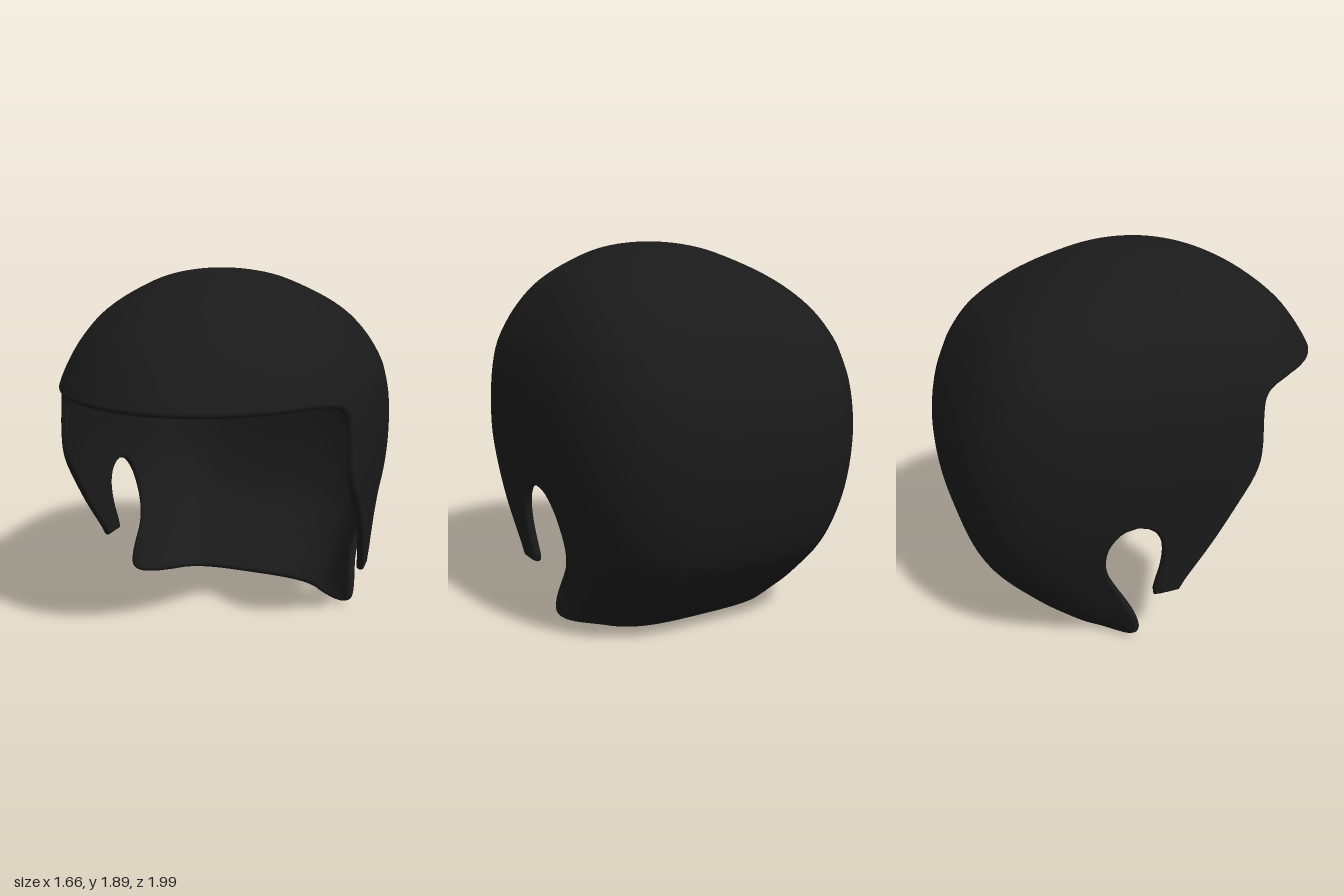
import * as THREE from 'three';

const TOP = 1.91, ZC = 0.05, THICK = 0.04, BROW = 1.35, ARCH = 0.76, TIP = 0.345, HEM = 0.02;

// Horizontal sections: [y, front z, back z, half width at cheeks, half width at rear]
const SECTIONS = [
  [1.91, 0.05, 0.05, 0, 0], [1.88, 0.29, -0.2, 0.25, 0.25], [1.82, 0.46, -0.37, 0.4, 0.4],
  [1.7, 0.67, -0.6, 0.59, 0.59], [1.57, 0.83, -0.77, 0.7, 0.7], [1.42, 0.95, -0.875, 0.78, 0.78],
  [1.34, 1.0, -0.91, 0.803, 0.803], [1.2, 1.04, -0.96, 0.825, 0.825], [1.0, 1.08, -0.995, 0.83, 0.83],
  [0.8, 1.12, -0.993, 0.82, 0.815], [0.6, 1.15, -0.96, 0.805, 0.775], [0.4, 1.15, -0.88, 0.785, 0.71],
  [0.2, 1.1, -0.7, 0.765, 0.645], [0.08, 1.1, -0.56, 0.75, 0.605], [0, 1.1, -0.47, 0.74, 0.55],
];
// Edges seen from the side: [y, z]
const FACE_EDGE = [[1.35, 0.62], [1.335, 0.5], [1.3, 0.42], [1.22, 0.39], [1.0, 0.385], [0.9, 0.35],
  [0.76, 0.25], [0.6, 0.14], [0.4, 0], [0.345, -0.03]];
const EAR_FRONT = [[0.76, -0.26], [0.745, -0.2], [0.7, -0.145], [0.62, -0.112], [0.5, -0.115], [0.4, -0.14], [0.345, -0.15]];
const EAR_BACK = [[0.76, -0.26], [0.745, -0.32], [0.7, -0.37], [0.62, -0.405], [0.5, -0.4], [0.36, -0.345],
  [0.2, -0.26], [0.09, -0.225], [0.05, -0.24], [0.03, -0.29], [0.02, -0.38]];

// Smooth interpolation of column c in a table keyed by column 0 (ascending)
function sample(table, key, c) {
  const n = table.length;
  let i = 0;
  while (i < n - 2 && key > table[i + 1][0]) i++;
  const slope = (a, b) => (table[b][c] - table[a][c]) / (table[b][0] - table[a][0]);
  const h = table[i + 1][0] - table[i][0], t = (key - table[i][0]) / h;
  const m0 = slope(Math.max(i - 1, 0), i + 1) * h, m1 = slope(i, Math.min(i + 2, n - 1)) * h;
  return (2 * t ** 3 - 3 * t * t + 1) * table[i][c] + (t ** 3 - 2 * t * t + t) * m0
    + (3 * t * t - 2 * t ** 3) * table[i + 1][c] + (t ** 3 - t * t) * m1;
}
const depth = y => Math.sqrt(Math.max(0, TOP - y));
const BY_DEPTH = SECTIONS.map(r => [depth(r[0]), ...r.slice(1)]);
const smooth = THREE.MathUtils.smoothstep;
const edgeZ = (edge, y) => sample([...edge].reverse(), y, 1);

// Boxy at the back, round at the front and at the crown
const power = (s, front) => (front ? 2 : 2 + 1.5 * smooth(s, 0, 0.9));
const reach = (s, front) => Math.max(1e-5, front ? sample(BY_DEPTH, s, 1) - ZC : ZC - sample(BY_DEPTH, s, 2));

// Outer surface on the +x side: a = 0 at the front centre, PI at the back centre
function surface(a, s) {
  const front = Math.cos(a) > 0, n = power(s, front);
  const k = (Math.abs(Math.sin(a)) ** n + Math.abs(Math.cos(a)) ** n) ** (-1 / n);
  const z = ZC + reach(s, front) * Math.cos(a) * k;
  const w = THREE.MathUtils.lerp(sample(BY_DEPTH, s, 4), sample(BY_DEPTH, s, 3), smooth(z, -0.38, -0.12));
  return new THREE.Vector3(w * Math.sin(a) * k, TOP - s * s, z);
}
function normalAt(a, s) {
  const h = 0.004, t = Math.max(s, 0.03);
  const da = surface(a + h, t).sub(surface(a - h, t));
  const ds = surface(a, t + h).sub(surface(a, t - h));
  return ds.cross(da).normalize();
}
// Angle at which the section at height y reaches z
function angleAt(z, y) {
  const s = depth(y), front = z > ZC, n = power(s, front);
  const r = Math.min(1, Math.abs(z - ZC) / reach(s, front));
  return Math.atan2((1 - r ** n) ** (1 / n), front ? r : -r);
}
const onEdge = (edge, y) => angleAt(edgeZ(edge, y), y);

// Heights between the keys of an edge, each gap split in k
function heights(edge, from, to, k = 4) {
  const keys = [from, ...edge.map(p => p[0]).filter(y => y < from && y > to), to];
  const out = [from];
  for (let i = 1; i < keys.length; i++)
    for (let j = 1; j <= k; j++) out.push(THREE.MathUtils.lerp(keys[i - 1], keys[i], j / k));
  return out;
}

function makeGeometry(pos, nor, idx) {
  const g = new THREE.BufferGeometry();
  g.setAttribute('position', new THREE.Float32BufferAttribute(pos, 3));
  if (nor) g.setAttribute('normal', new THREE.Float32BufferAttribute(nor, 3));
  g.setIndex(idx);
  if (!nor) g.computeVertexNormals();
  return g;
}

// One skin of a patch: rows of [height, start angle, end angle]
function skin(rows, cols, side, inner) {
  const pos = [], nor = [], idx = [];
  for (const [y, a0, a1] of rows) {
    for (let j = 0; j <= cols; j++) {
      const a = THREE.MathUtils.lerp(a0, a1, j / cols), s = depth(y);
      const n = normalAt(a, s), p = surface(a, s);
      if (inner) p.addScaledVector(n, -THICK);
      const f = inner ? -1 : 1;
      pos.push(side * p.x, p.y, p.z);
      nor.push(f * side * n.x, f * n.y, f * n.z);
    }
  }
  const flip = (side < 0) !== inner;
  for (let i = 0; i < rows.length - 1; i++) {
    for (let j = 0; j < cols; j++) {
      const a = i * (cols + 1) + j, b = a + 1, c = a + cols + 1, d = c + 1;
      if (flip) idx.push(a, b, c, b, d, c);
      else idx.push(a, c, b, b, c, d);
    }
  }
  return makeGeometry(pos, nor, idx);
}

// Rounded rim between the two skins, along a path of [angle, height]
function rim(path, side) {
  const pos = [], idx = [], steps = 6, bulge = 0.015;
  const pts = path.map(([a, y]) => surface(a, depth(y)));
  path.forEach(([a, y], i) => {
    const n = normalAt(a, depth(y));
    const t = pts[Math.min(i + 1, pts.length - 1)].clone().sub(pts[Math.max(i - 1, 0)]);
    const out = t.cross(n).normalize();
    for (let j = 0; j <= steps; j++) {
      const q = Math.PI * j / steps;
      const p = pts[i].clone().addScaledVector(n, THICK / 2 * (Math.cos(q) - 1)).addScaledVector(out, bulge * Math.sin(q));
      pos.push(side * p.x, p.y, p.z);
    }
  });
  for (let i = 0; i < path.length - 1; i++) {
    for (let j = 0; j < steps; j++) {
      const a = i * (steps + 1) + j, b = a + 1, c = a + steps + 1, d = c + 1;
      if (side > 0) idx.push(a, b, c, b, d, c);
      else idx.push(a, c, b, b, c, d);
    }
  }
  return makeGeometry(pos, null, idx);
}

export function createModel() {
  const group = new THREE.Group();
  group.name = 'openFaceHelmet';
  const material = new THREE.MeshStandardMaterial({ color: 0x1a1a1a, side: THREE.DoubleSide });
  const add = (geometry, name) => {
    const mesh = new THREE.Mesh(geometry, material);
    mesh.name = name;
    group.add(mesh);
  };

  // Shell patches, top to bottom
  const crownRows = Array.from({ length: 31 }, (_, i) => [TOP - (depth(BROW) * i / 30) ** 2, 0, Math.PI]);
  const patches = {
    crown: crownRows,
    sideAndBack: heights(FACE_EDGE, BROW, ARCH).map(y => [y, onEdge(FACE_EDGE, y), Math.PI]),
    cheekGuard: heights(EAR_FRONT, ARCH, TIP).map(y => [y, onEdge(FACE_EDGE, y), onEdge(EAR_FRONT, y)]),
    neckGuard: heights(EAR_BACK, ARCH, HEM).map(y => [y, onEdge(EAR_BACK, y), Math.PI]),
  };

  // Rim path from the brow centre round the cheek and ear to the back centre
  const level = (a0, a1, y, n) => Array.from({ length: n + 1 }, (_, i) => [THREE.MathUtils.lerp(a0, a1, i / n), y]);
  const along = (edge, from, to) => heights(edge, from, to).map(y => [onEdge(edge, y), y]);
  const path = [
    ...level(0, onEdge(FACE_EDGE, BROW), BROW, 24),
    ...along(FACE_EDGE, BROW, TIP).slice(1),
    ...level(onEdge(FACE_EDGE, TIP), onEdge(EAR_FRONT, TIP), TIP, 5).slice(1),
    ...along(EAR_FRONT, ARCH, TIP).reverse().slice(1),
    ...along(EAR_BACK, ARCH, HEM).slice(1),
    ...level(onEdge(EAR_BACK, HEM), Math.PI, HEM, 24).slice(1),
  ];

  for (const side of [1, -1]) {
    const label = side > 0 ? 'Left' : 'Right';
    for (const [name, rows] of Object.entries(patches)) {
      const cols = name === 'cheekGuard' ? 14 : 44;
      add(skin(rows, cols, side, false), name + 'Outer' + label);
      add(skin(rows, cols, side, true), name + 'Inner' + label);
    }
    add(rim(path, side), 'rim' + label);
  }
  return group;
}
